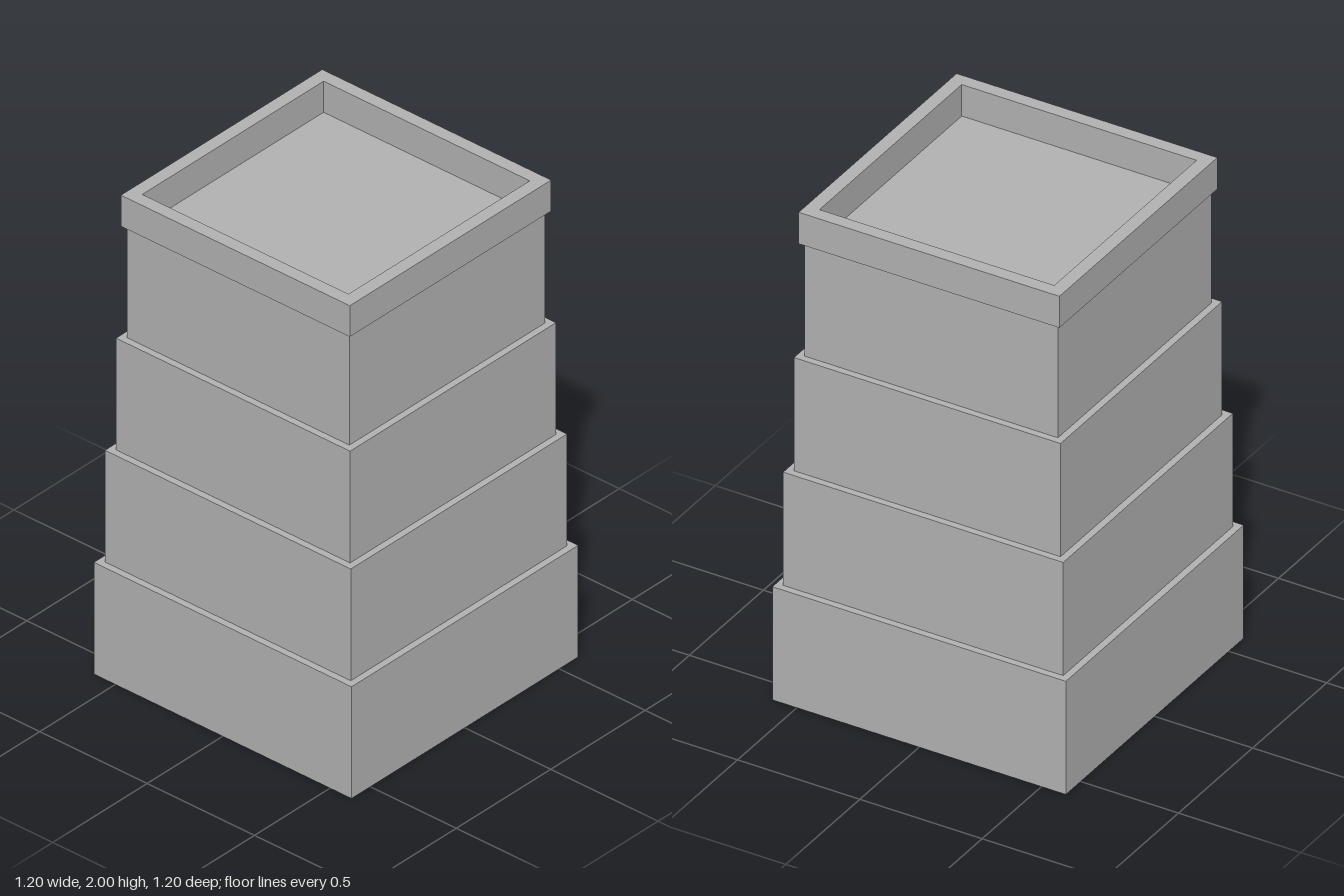
import * as THREE from 'three';

const TIER_HEIGHT = 0.4675;
const TIER_WIDTHS = [1.2, 1.145, 1.09, 1.035];
const PARAPET = { outer: 1.066, inner: 0.96, height: 0.13 };

// Corners of a square centred on the origin
function squarePoints(width) {
  const h = width / 2;
  return [[-h, -h], [h, -h], [h, h], [-h, h]].map(([x, y]) => new THREE.Vector2(x, y));
}

export function createModel() {
  const model = new THREE.Group();
  model.name = 'steppedTower';
  const concrete = new THREE.MeshStandardMaterial({ color: 0xb2b2b2 });
  concrete.name = 'grey concrete';

  // Stacked tiers, each narrower than the one below
  TIER_WIDTHS.forEach((width, i) => {
    const tier = new THREE.Mesh(new THREE.BoxGeometry(width, TIER_HEIGHT, width), concrete);
    tier.name = `tier${i + 1}`;
    tier.position.y = (i + 0.5) * TIER_HEIGHT;
    model.add(tier);
  });

  // Overhanging parapet, open in the middle to leave a sunken roof
  const ring = new THREE.Shape(squarePoints(PARAPET.outer));
  ring.holes.push(new THREE.Path(squarePoints(PARAPET.inner).reverse()));
  const ringGeometry = new THREE.ExtrudeGeometry(ring, { depth: PARAPET.height, bevelEnabled: false });
  ringGeometry.rotateX(-Math.PI / 2);
  const parapet = new THREE.Mesh(ringGeometry, concrete);
  parapet.name = 'roofParapet';
  parapet.position.y = TIER_WIDTHS.length * TIER_HEIGHT;
  model.add(parapet);

  return model;
}
